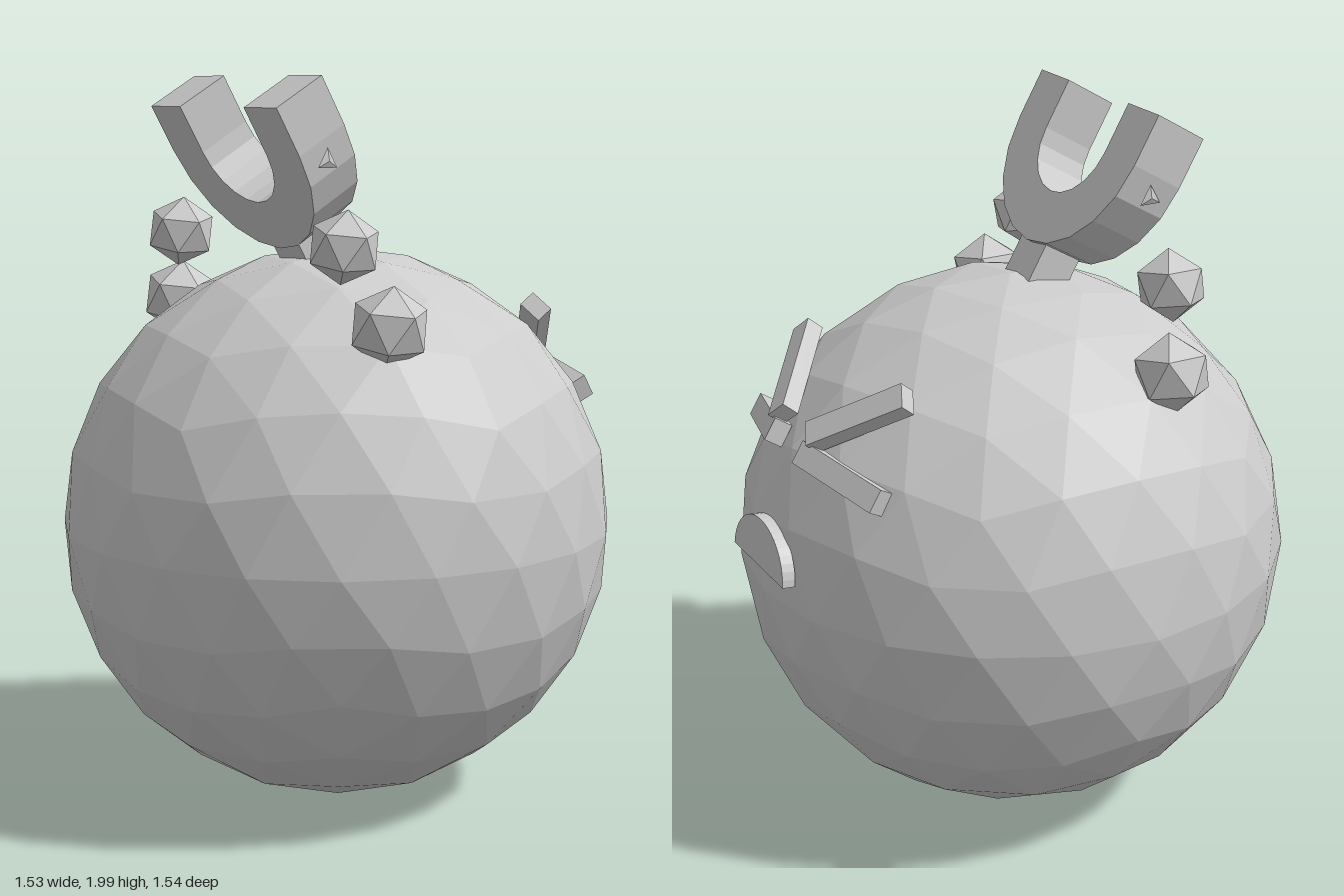
import * as THREE from 'three';

const grey = new THREE.MeshStandardMaterial({ color: 0xcccccc });
grey.name = 'grey';
grey.flatShading = true;

const CENTRE = new THREE.Vector3(0, 0.77, 0);
const RADIUS = 0.765;

// Turns an icosahedron-based geometry so that a corner points up and its upper ring has a corner on +x
function poleUp(geometry) {
  return geometry.rotateX(-Math.atan((1 + Math.sqrt(5)) / 2)).rotateY(Math.PI / 2);
}

function add(parent, name, geometry, position = [0, 0, 0]) {
  const mesh = new THREE.Mesh(geometry, grey);
  mesh.name = name;
  mesh.position.set(...position);
  parent.add(mesh);
  return mesh;
}

// Icosahedron split twice, each split pushed out to the sphere
function bodyGeometry() {
  const coarse = new THREE.IcosahedronGeometry(1, 1);
  const points = Array.from(coarse.attributes.position.array);
  const indices = points.slice(0, points.length / 3).map((_, i) => i);
  return poleUp(new THREE.PolyhedronGeometry(points, indices, RADIUS, 1));
}

// U-shaped crest: two arms joined by a half ring, standing on y = 0
function crestGeometry(outer, inner, height, depth) {
  const shape = new THREE.Shape();
  const steps = 10;
  shape.moveTo(outer, height);
  shape.lineTo(inner, height);
  for (let i = 0; i <= steps; i++) {
    const a = -Math.PI * i / steps;
    shape.lineTo(inner * Math.cos(a), outer + inner * Math.sin(a));
  }
  shape.lineTo(-inner, height);
  shape.lineTo(-outer, height);
  for (let i = steps; i >= 0; i--) {
    const a = -Math.PI * i / steps;
    shape.lineTo(outer * Math.cos(a), outer + outer * Math.sin(a));
  }
  return new THREE.ExtrudeGeometry(shape, { depth, bevelEnabled: false }).translate(0, 0, -depth / 2);
}

// A bar from one point to another, its flat side facing away from the body centre
function bar(parent, name, from, to, width, thickness) {
  const a = new THREE.Vector3(...from), b = new THREE.Vector3(...to);
  const mid = a.clone().add(b).multiplyScalar(0.5);
  const along = b.clone().sub(a);
  const length = along.length();
  along.normalize();
  const up = mid.clone().sub(CENTRE).cross(along).normalize();
  const out = along.clone().cross(up);
  const mesh = add(parent, name, new THREE.BoxGeometry(length, width, thickness), mid.toArray());
  mesh.quaternion.setFromRotationMatrix(new THREE.Matrix4().makeBasis(along, up, out));
}

export function createModel() {
  const model = new THREE.Group();
  model.name = 'model';

  add(model, 'body', bodyGeometry(), CENTRE.toArray());

  // Forward-leaning crest with its stem
  const crest = new THREE.Group();
  crest.name = 'crest';
  crest.position.set(0, 1.58, 0.12);
  crest.rotation.x = Math.PI / 6;
  model.add(crest);
  add(crest, 'crestArch', crestGeometry(0.295, 0.15, 0.437, 0.163));
  add(crest, 'crestStem', new THREE.BoxGeometry(0.125, 0.18, 0.12), [0, -0.05, 0]);

  for (const side of [-1, 1]) {
    // Small bump on the outer side of each crest arm
    const bump = add(crest, 'crestBump', new THREE.ConeGeometry(0.035, 0.008, 3), [side * 0.298, 0.24, 0.01]);
    bump.rotation.z = -side * Math.PI / 2;

    // Faceted beads beside the crest
    const small = add(model, 'smallBead', poleUp(new THREE.IcosahedronGeometry(0.098, 0)), [side * 0.382, 1.568, 0.262]);
    const large = add(model, 'largeBead', poleUp(new THREE.IcosahedronGeometry(0.108, 0)), [side * 0.49, 1.37, 0.2]);
    small.rotation.z = large.rotation.z = -0.17;

    // Squeezed-shut eye made of two bars
    bar(model, 'upperEyeBar', [side * 0.09, 1.22, -0.645], [side * 0.3, 1.365, -0.47], 0.07, 0.05);
    bar(model, 'lowerEyeBar', [side * 0.08, 1.175, -0.665], [side * 0.37, 1.13, -0.585], 0.065, 0.05);
  }

  // Half-disc mouth, flat side down
  const half = new THREE.Shape();
  half.absarc(0, 0, 0.16, 0, Math.PI);
  half.closePath();
  const mouthGeometry = new THREE.ExtrudeGeometry(half, { depth: 0.036, bevelEnabled: false, curveSegments: 10 });
  mouthGeometry.scale(1, 0.83, 1);
  const mouth = add(model, 'mouth', mouthGeometry, [0, 0.845, -0.775]);
  mouth.rotation.x = 0.1;

  return model;
}
